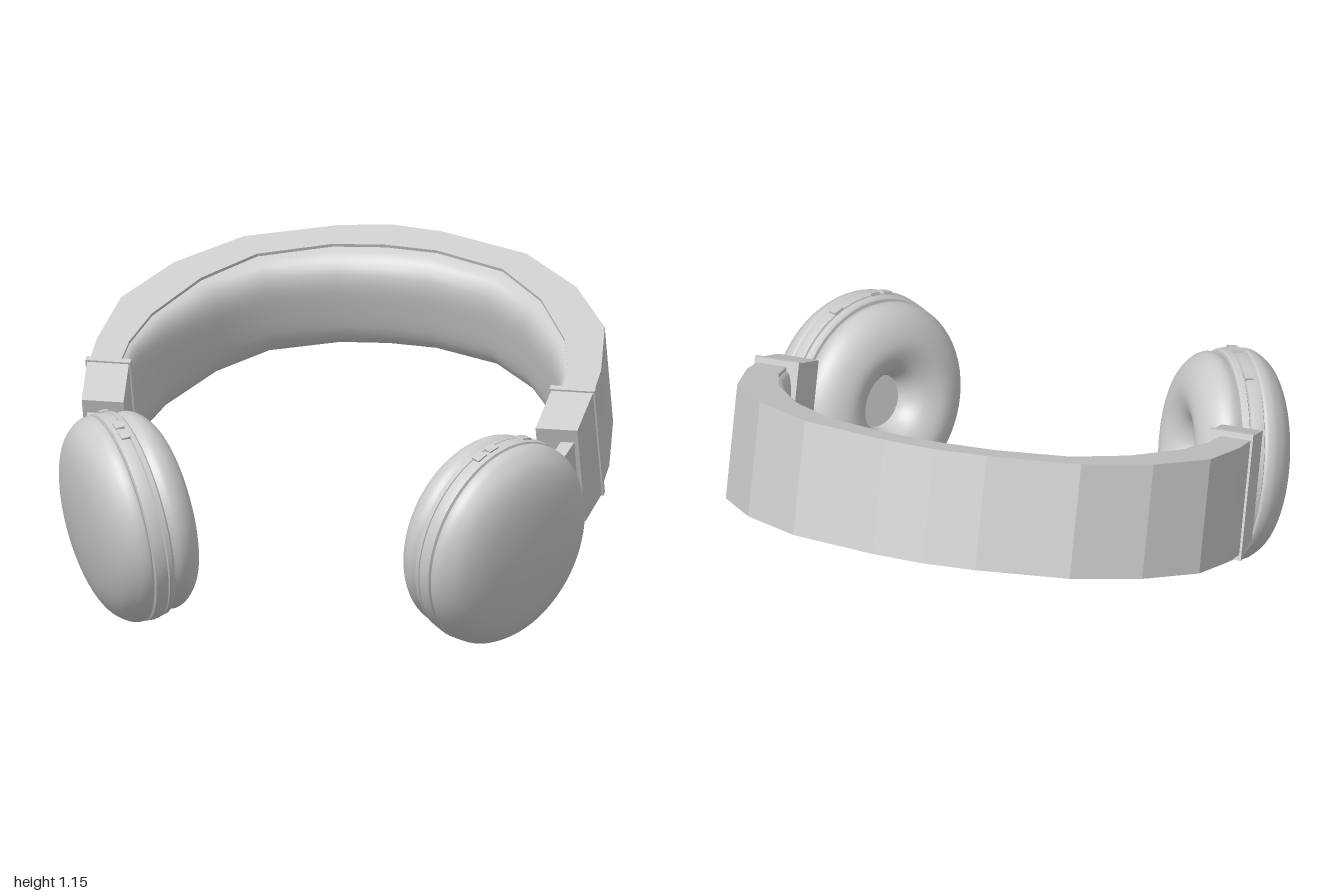
import * as THREE from 'three';
import { toCreasedNormals } from 'three/addons/utils/BufferGeometryUtils.js';

const TILT = 0.345;   // the whole headset leans back
const MID = 0.577;    // middle of the band's width
const CUP_TURN = 0.55;

const material = new THREE.MeshStandardMaterial({ color: 0xcccccc });
const openMaterial = new THREE.MeshStandardMaterial({ color: 0xcccccc, side: THREE.DoubleSide });

function add(parent, name, geometry, mat = material) {
  const mesh = new THREE.Mesh(geometry, mat);
  mesh.name = name;
  parent.add(mesh);
  return mesh;
}

// Half outlines (x, z) from the back centre to the front end, mirrored in x
const outerHalf = [[0, -1.184], [0.2, -1.16], [0.54, -1.055], [0.77, -0.867], [0.925, -0.63], [0.965, -0.36], [0.965, -0.2]];
const innerHalf = [[0, -1.056], [0.2, -1.04], [0.47, -0.95], [0.65, -0.78], [0.79, -0.54], [0.84, -0.36], [0.85, -0.2]];
const mirrored = half => [...half.slice(1).reverse().map(([x, z]) => [-x, z]), ...half];

function bandGeometry() {
  const outline = [...mirrored(outerHalf), ...mirrored(innerHalf).reverse()];
  const shape = new THREE.Shape(outline.map(([x, z]) => new THREE.Vector2(x, -z)));
  const geo = new THREE.ExtrudeGeometry(shape, { depth: 0.44, bevelEnabled: false });
  return geo.rotateX(-Math.PI / 2).translate(0, MID - 0.22, 0);
}

// Padding bulging from the inside of the band, thinner towards the ends
function paddingGeometry() {
  const path = mirrored(innerHalf);
  const depths = [0.125, 0.12, 0.11, 0.09, 0.065, 0.045, 0.03];
  const steps = 16, positions = [], index = [];
  path.forEach(([x, z], i) => {
    const a = path[Math.max(i - 1, 0)], b = path[Math.min(i + 1, path.length - 1)];
    const dir = new THREE.Vector2(b[0] - a[0], b[1] - a[1]).normalize();
    const depth = depths[Math.abs(i - 6)];
    for (let j = 0; j <= steps; j++) {
      const u = -Math.cos((j / steps) * Math.PI);
      const d = depth * Math.sqrt(Math.max(0, 1 - u ** 4)) - 0.003;
      positions.push(x - dir.y * d, MID + 0.208 * u, z + dir.x * d);
      if (i < path.length - 1 && j < steps) {
        const p = i * (steps + 1) + j, q = p + steps + 1;
        index.push(p, q, p + 1, q, q + 1, p + 1);
      }
    }
  });
  const geo = new THREE.BufferGeometry();
  geo.setAttribute('position', new THREE.Float32BufferAttribute(positions, 3));
  geo.setIndex(index);
  geo.computeVertexNormals();
  return geo;
}

// Lathe turned so that its axis points along +x
function turned(points, smooth) {
  let pts = points.map(([r, a]) => new THREE.Vector2(r, a));
  if (smooth) {
    pts = new THREE.SplineCurve(pts).getPoints(28);
    pts.forEach(p => { p.x = Math.max(p.x, 0); });
  }
  const geo = new THREE.LatheGeometry(pts, 64);
  return (smooth ? geo : toCreasedNormals(geo, 0.4)).rotateZ(-Math.PI / 2);
}

function earCup(side) {
  const cup = new THREE.Group();
  cup.name = 'earCup';
  add(cup, 'cushion', turned([[0.1, -0.06], [0.108, -0.105], [0.15, -0.16], [0.23, -0.19],
    [0.31, -0.172], [0.363, -0.13], [0.382, -0.085], [0.37, -0.046]], true), openMaterial);
  add(cup, 'speakerDisc', turned([[0, -0.07], [0.13, -0.07]]), openMaterial);
  add(cup, 'lowerRim', turned([[0.3, -0.05], [0.385, -0.05], [0.393, -0.043], [0.396, -0.025], [0.385, -0.02]]), openMaterial);
  add(cup, 'rim', turned([[0.385, -0.02], [0.398, -0.018], [0.402, 0.005], [0.4, 0.03], [0.388, 0.035]]), openMaterial);
  add(cup, 'outerCap', turned([[0.388, 0.034], [0.398, 0.045], [0.388, 0.085], [0.34, 0.138],
    [0.25, 0.175], [0.12, 0.195], [0, 0.2]], true), openMaterial);

  // Small controls around the top of the rim
  for (const angle of [-0.52, -0.06, 0.1]) {
    const button = add(cup, 'button', new THREE.BoxGeometry(0.034, 0.014, 0.045));
    button.position.set(-0.005, 0.4 * Math.cos(angle), side * 0.4 * Math.sin(angle));
    button.rotation.x = side * angle;
  }
  cup.position.set(side * 0.705, 0.582, 0.435);
  cup.rotation.y = side > 0 ? -CUP_TURN : Math.PI + CUP_TURN;
  return cup;
}

// Box that narrows in height and leans inward towards the front
function sliderGeometry(side) {
  const geo = new THREE.BoxGeometry(0.16, 0.47, 0.21);
  const p = geo.attributes.position;
  for (let i = 0; i < p.count; i++) {
    if (p.getZ(i) > 0) {
      p.setY(i, p.getY(i) * 0.9);
      p.setX(i, p.getX(i) - side * 0.02);
    }
  }
  return toCreasedNormals(geo, 0.1);
}

export function createModel() {
  const model = new THREE.Group();
  model.name = 'headphones';
  const body = new THREE.Group();
  body.name = 'tiltedBody';
  body.rotation.x = TILT;
  model.add(body);

  add(body, 'headband', bandGeometry());
  add(body, 'headbandPadding', paddingGeometry(), openMaterial);

  for (const side of [1, -1]) {
    const plate = add(body, 'sliderPlate', new THREE.BoxGeometry(0.172, 0.484, 0.025));
    plate.position.set(side * 0.888, MID, -0.21);
    const slider = add(body, 'slider', sliderGeometry(side));
    slider.position.set(side * 0.888, MID, -0.095);
    const arm = add(body, 'hingeArm', new THREE.BoxGeometry(0.05, 0.31, 0.17));
    arm.position.set(side * 0.895, MID, 0.065);
    arm.rotation.y = -side * 0.2;
    body.add(earCup(side));
  }
  return model;
}
